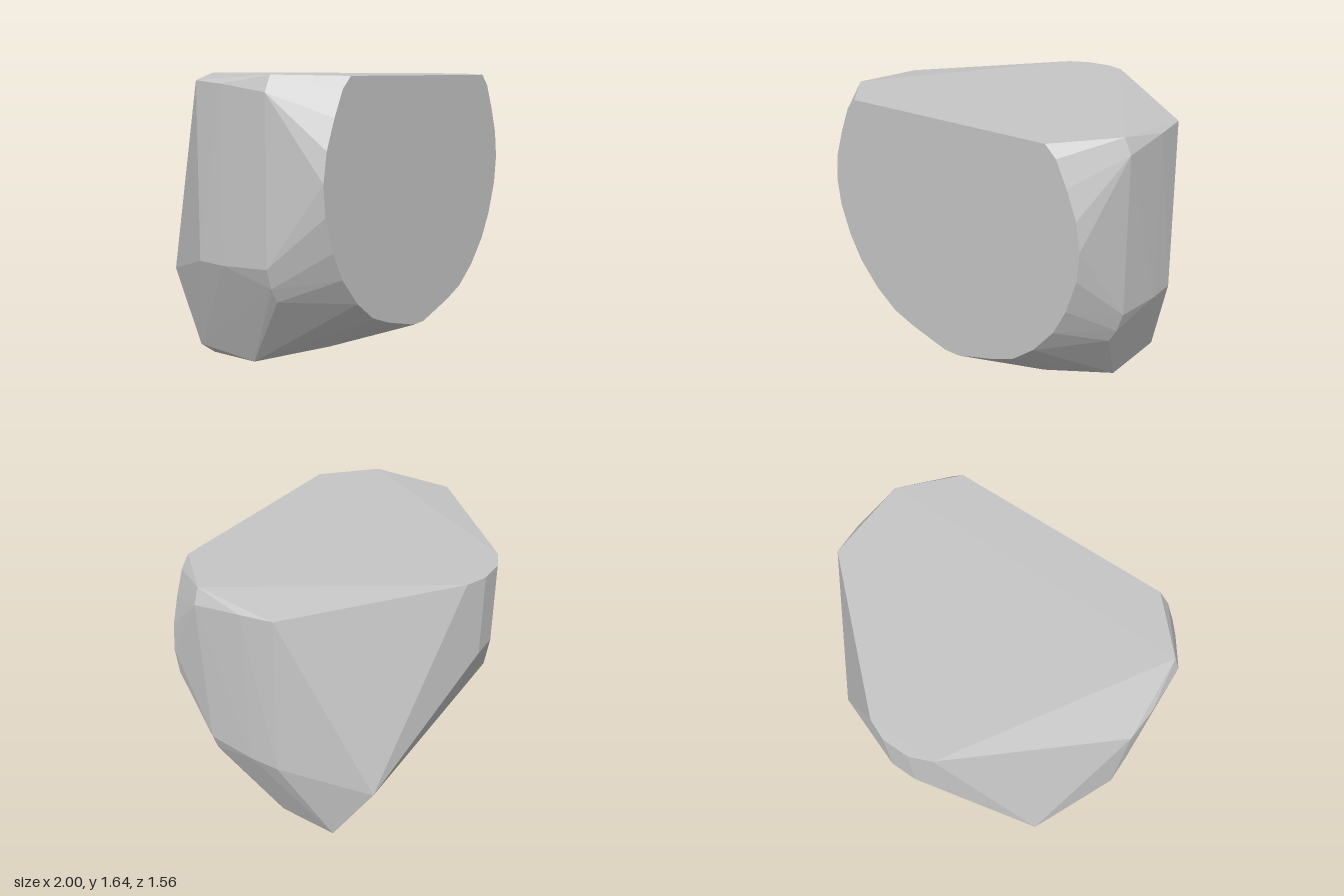
import * as THREE from 'three';
import { ConvexGeometry } from 'three/addons/geometries/ConvexGeometry.js';

export function createModel() {
  const group = new THREE.Group();
  group.name = 'facetedBlock';
  const stone = new THREE.MeshStandardMaterial({ color: 0xc6c6c6 });
  stone.name = 'light stone grey';

  // Rounded front face outline, one half, as [x, y]
  const face = [
    [0.05, 0.185], [0.31, 0.26], [0.46, 0.32], [0.6, 0.43], [0.73, 0.585], [0.81, 0.74],
    [0.87, 0.93], [0.885, 1.1], [0.86, 1.26], [0.8, 1.42], [0.735, 1.56], [0.67, 1.625],
  ];
  // Corners of the body, one half, as [x, y, z]
  const body = [
    // upper rim, front to back
    [0.94, 1.632, 0.48], [0.975, 1.6, -0.03], [0.2, 1.638, -0.73], [0.08, 1.638, -0.78],
    // sides
    [0.98, 1.545, 0.48], [0.988, 1.585, 0.17], [0.98, 0.64, 0.48],
    [1.0, 0.62, 0.18], [1.0, 0.62, 0],
    // lower front corners
    [0.945, 0.53, 0.48], [0.9, 0.45, 0.48], [0.48, 0.105, 0.5],
    // back
    [0.76, 0.46, -0.49], [0.08, 1.15, -0.78],
    // base
    [0.76, 0.015, 0.17], [0.76, 0, -0.16], [0.8, 0.045, -0.23],
  ];

  // Mirror both halves and wrap them in one convex skin
  const points = [];
  for (const [x, y, z = 0.78] of [...face, ...body]) {
    for (const side of [-1, 1]) points.push(new THREE.Vector3(side * x, y, z));
  }
  const block = new THREE.Mesh(new ConvexGeometry(points), stone);
  block.name = 'block';
  group.add(block);
  return group;
}
